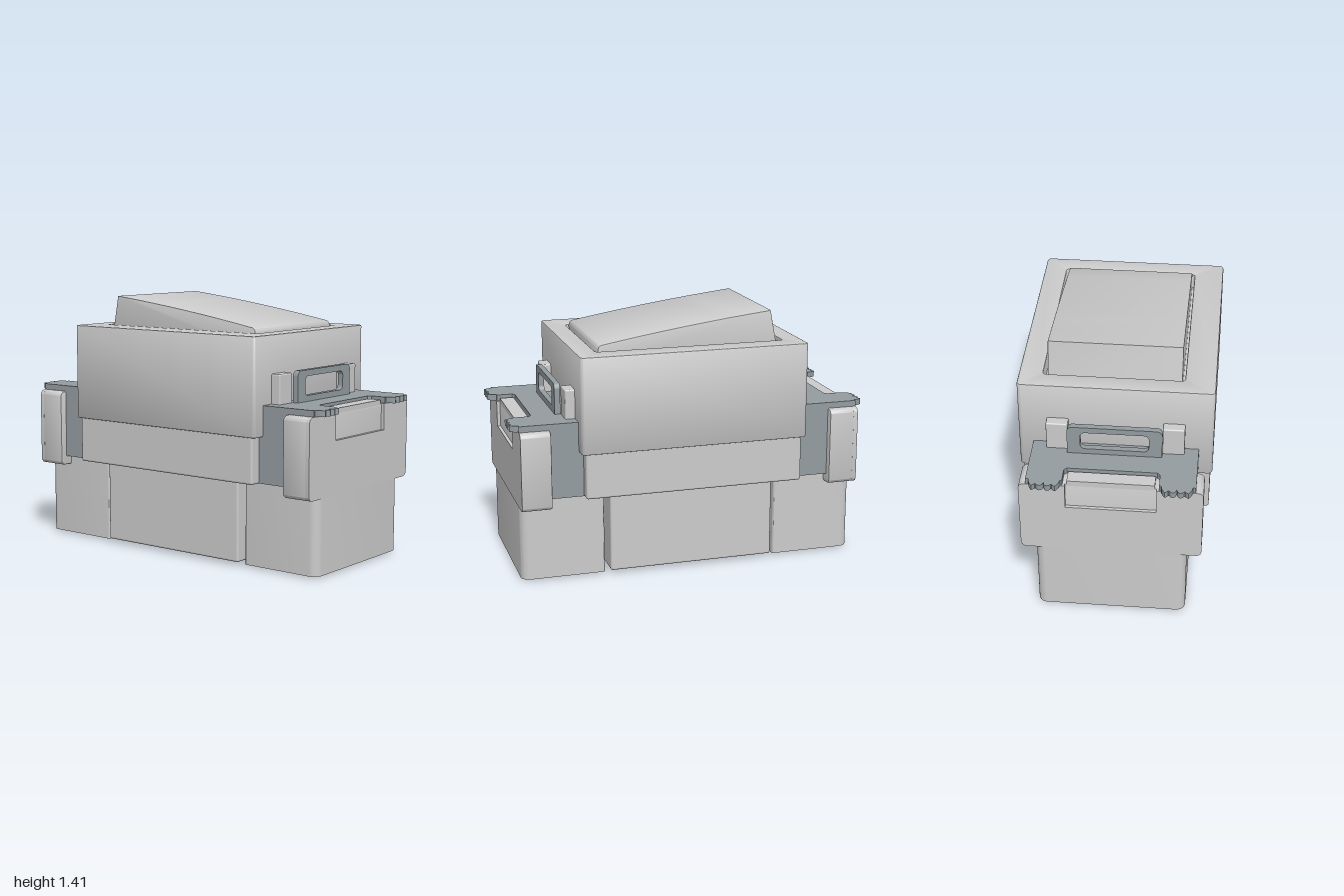
import * as THREE from 'three';
import { toCreasedNormals } from 'three/addons/utils/BufferGeometryUtils.js';
import { RoundedBoxGeometry } from 'three/addons/geometries/RoundedBoxGeometry.js';

const material = (color) => new THREE.MeshStandardMaterial({ color, side: THREE.DoubleSide });
const plastic = material(0xcccccc);
const metal = material(0x949ca0);
const brass = material(0xc8a41e);
const blue = material(0x153c80);
const dark = material(0x8c8c8c);

function add(parent, name, geometry, mat = plastic) {
  const mesh = new THREE.Mesh(geometry, mat);
  mesh.name = name;
  parent.add(mesh);
  return mesh;
}

// Box given by its limits, optionally with rounded edges
function box(parent, name, [x0, x1], [y0, y1], [z0, z1], mat = plastic, r = 0) {
  const s = [x1 - x0, y1 - y0, z1 - z0];
  const g = r ? new RoundedBoxGeometry(...s, 3, r) : new THREE.BoxGeometry(...s);
  g.translate((x0 + x1) / 2, (y0 + y1) / 2, (z0 + z1) / 2);
  return add(parent, name, g, mat);
}

// Rounded rectangle; radii run from lower left counter-clockwise
function roundRect(x0, x1, y0, y1, radii, Type = THREE.Shape) {
  const [a, b, c, d] = Array.isArray(radii) ? radii : [radii, radii, radii, radii];
  const s = new Type();
  s.moveTo(x0 + a, y0).lineTo(x1 - b, y0);
  if (b) s.absarc(x1 - b, y0 + b, b, -Math.PI / 2, 0);
  s.lineTo(x1, y1 - c);
  if (c) s.absarc(x1 - c, y1 - c, c, 0, Math.PI / 2);
  s.lineTo(x0 + d, y1);
  if (d) s.absarc(x0 + d, y1 - d, d, Math.PI / 2, Math.PI);
  s.lineTo(x0, y0 + a);
  if (a) s.absarc(x0 + a, y0 + a, a, Math.PI, Math.PI * 1.5);
  return s;
}

// Extrusion between two levels, with the bevel kept inside them
function extrude(shape, from, to, bevel = 0) {
  const g = new THREE.ExtrudeGeometry(shape, {
    depth: to - from - 2 * bevel, curveSegments: 8, bevelEnabled: bevel > 0,
    bevelSize: bevel, bevelThickness: bevel, bevelOffset: -bevel, bevelSegments: 2,
  });
  return toCreasedNormals(g.translate(0, 0, from + bevel), 0.6);
}
const upward = (shape, from, to, bevel) => extrude(shape, from, to, bevel).rotateX(-Math.PI / 2);
const outward = (shape, from, to, bevel) => extrude(shape, from, to, bevel).rotateY(Math.PI / 2);

function buildHousing(g) {
  // Upper shell with the rocker opening (shape y is -z)
  const shell = roundRect(-0.635, 0.635, -0.515, 0.518, 0.025);
  shell.holes.push(roundRect(-0.528, 0.523, -0.352, 0.392, 0.02, THREE.Path));
  add(g, 'upperHousing', upward(shell, 0.72, 1.25, 0.008));
  box(g, 'openingFloor', [-0.56, 0.56], [0.7, 1.16], [-0.42, 0.38]);
  box(g, 'lowerHousing', [-0.61, 0.61], [0.47, 0.73], [-0.503, 0.503], plastic, 0.012);

  // Rocker: gently curved slope from the high end to the low end
  const s = new THREE.Shape();
  s.moveTo(-0.525 + 0.01, 1.15).lineTo(-0.465, 1.413);
  s.quadraticCurveTo(0.03, 1.36, 0.485, 1.278);
  s.quadraticCurveTo(0.505, 1.273, 0.507, 1.25).lineTo(0.507, 1.15);
  add(g, 'rocker', extrude(s, -0.37, 0.338, 0.004));
}

function buildCentreBase(g) {
  box(g, 'centreBase', [-0.468, 0.462], [0.02, 0.48], [-0.425, 0.428], plastic, 0.012);
  // Underside details
  box(g, 'label', [-0.2, 0.2], [0.012, 0.022], [-0.23, 0.05], blue);
  box(g, 'undersidePanel', [-0.25, 0.43], [0.015, 0.022], [0.07, 0.38], dark);
  add(g, 'undersideDisc', new THREE.CylinderGeometry(0.095, 0.095, 0.008, 32), dark)
    .position.set(0.33, 0.018, -0.03);
  for (const x of [-0.38, -0.3]) {
    box(g, 'undersideRib', [x - 0.006, x + 0.006], [0.012, 0.022], [0.0, 0.36]);
  }
}

// Plate outline with a notch between two scalloped ears (x, z)
function clampPlate() {
  const ear = [];
  for (let i = 0; i <= 30; i++) {
    const t = i / 30;
    const bump = Math.abs(Math.sin(t * Math.PI * 4));
    const end = t < 0.12 ? (0.12 - t) * 0.2 : t > 0.88 ? (t - 0.88) * 0.2 : 0;
    ear.push([0.975 + 0.025 * Math.sqrt(bump) - end, -0.425 + t * 0.165]);
  }
  const half = [[0.6, -0.44], [0.955, -0.44], ...ear, [0.95, -0.25], [0.865, -0.25], [0.85, -0.235]];
  const points = [...half, ...half.map(([x, z]) => [x, -z]).reverse()];
  return new THREE.Shape(points.map(([x, z]) => new THREE.Vector2(x, z)));
}

function buildEnd() {
  const g = new THREE.Group();

  // Terminal base with wire openings and a contact slot
  const base = roundRect(0.49, 0.953, -0.402, 0.402, [0.012, 0.05, 0.05, 0.012]);
  for (const z of [-0.2, 0.2]) {
    base.holes.push(new THREE.Path().absarc(0.68, z, 0.105, 0, Math.PI * 2, true));
  }
  base.holes.push(roundRect(0.74, 0.9, -0.085, 0.085, 0.01, THREE.Path));
  add(g, 'terminalBase', upward(base, 0.01, 0.472));
  box(g, 'slotCeiling', [0.73, 0.91], [0.17, 0.19], [-0.095, 0.095]);
  box(g, 'contact', [0.77, 0.87], [0.05, 0.18], [-0.035, 0.035], brass);

  // Wire funnels with raised rims
  const funnel = [[0.13, 0.012], [0.13, 0], [0.115, 0], [0.113, 0.006], [0.1, 0.006], [0.092, 0.02], [0.03, 0.13], [0, 0.13]]
    .map(([r, y]) => new THREE.Vector2(r, y));
  for (const z of [-0.2, 0.2]) {
    add(g, 'wireFunnel', toCreasedNormals(new THREE.LatheGeometry(funnel, 40), 0.5)).position.set(0.68, 0, z);
  }

  // End block with a shallow recess in its outer face (shape x is -z)
  add(g, 'endBlock', outward(roundRect(-0.48, 0.48, 0.42, 0.852, 0.03), 0.79, 0.937, 0.008));
  const face = new THREE.Shape();
  face.moveTo(-0.45, 0.42).lineTo(0.45, 0.42).absarc(0.45, 0.45, 0.03, -Math.PI / 2, 0);
  face.lineTo(0.48, 0.822).absarc(0.45, 0.822, 0.03, 0, Math.PI / 2);
  face.lineTo(0.237, 0.852).lineTo(0.237, 0.708).lineTo(-0.237, 0.708).lineTo(-0.237, 0.852);
  face.lineTo(-0.45, 0.852).absarc(-0.45, 0.822, 0.03, Math.PI / 2, Math.PI);
  face.lineTo(-0.48, 0.45).absarc(-0.45, 0.45, 0.03, Math.PI, Math.PI * 1.5);
  add(g, 'endFace', outward(face, 0.93, 0.955));
  box(g, 'topLedge', [0.86, 0.937], [0.84, 0.872], [-0.228, 0.228]);

  // Metal clamp: sides, scalloped plate and windowed upright tab
  box(g, 'clampSides', [0.6, 0.795], [0.472, 0.86], [-0.44, 0.44], metal);
  add(g, 'clampPlate', upward(clampPlate(), 0.853, 0.886), metal);
  const tab = roundRect(-0.25, 0.25, 0.88, 1.055, [0, 0, 0.03, 0.03]);
  tab.holes.push(roundRect(-0.18, 0.18, 0.918, 1.022, 0.025, THREE.Path));
  add(g, 'clampTab', outward(tab, 0.69, 0.722), metal);

  // Housing posts beside the tab
  for (const s of [-1, 1]) {
    const z = [0.25 * s, 0.365 * s].sort((a, b) => a - b);
    box(g, 'guidePost', [0.62, 0.688], [0.86, 1.045], z, plastic, 0.008);
  }
  return g;
}

export function createModel() {
  const model = new THREE.Group();
  model.name = 'rockerSwitch';
  buildHousing(model);
  buildCentreBase(model);
  // The two ends are the same, turned about the vertical axis
  for (const [name, turn] of [['leftEnd', 0], ['rightEnd', Math.PI]]) {
    const end = buildEnd();
    end.name = name;
    end.rotation.y = turn;
    model.add(end);
  }
  return model;
}
